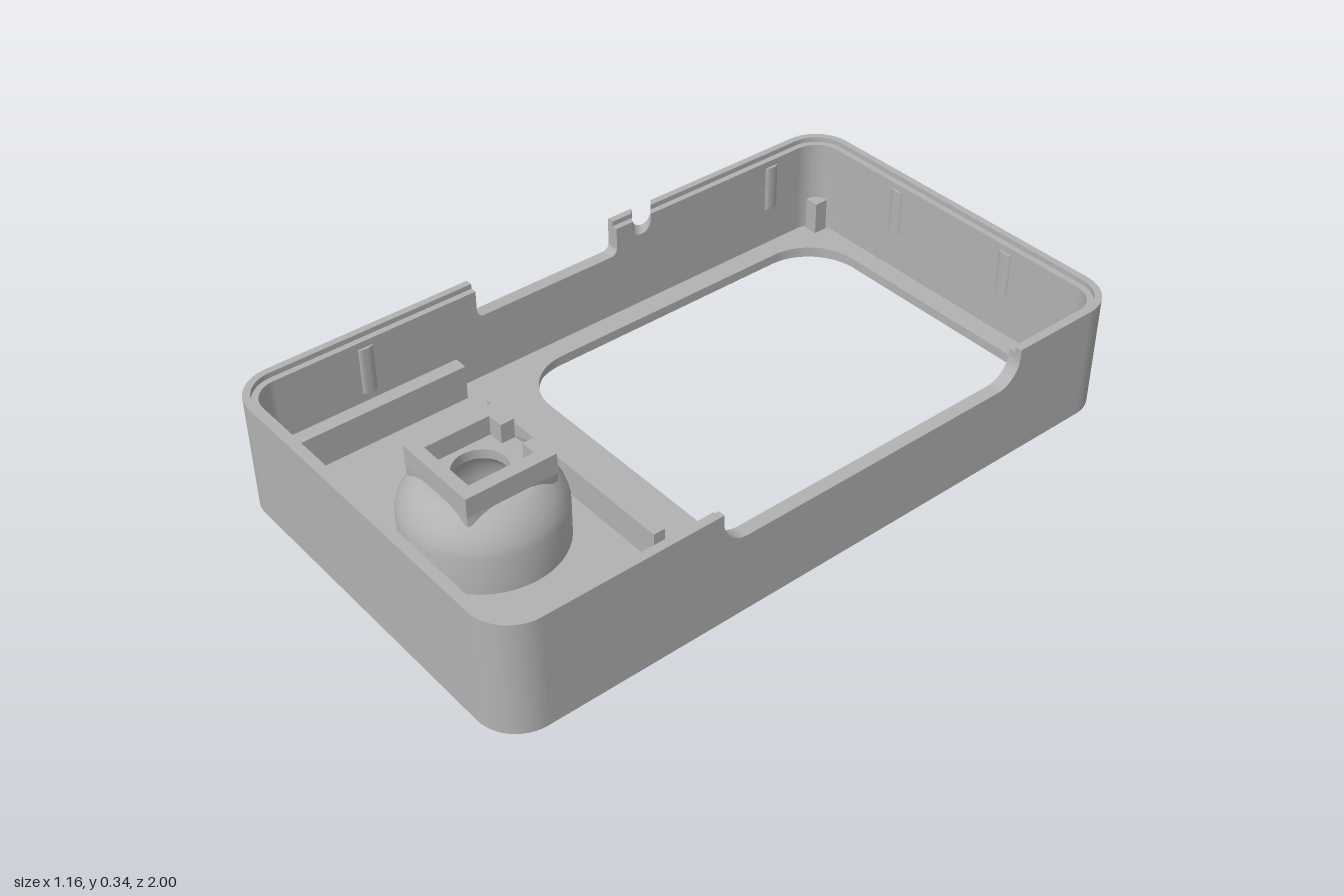
import * as THREE from 'three';
import { toCreasedNormals } from 'three/addons/utils/BufferGeometryUtils.js';

const W = 0.578, L = 1, R = 0.115;           // half width, half length, corner radius
const FLOOR = 0.04, TOP = 0.335, STEP = 0.32; // heights
const LIP = 0.02, WALL = 0.038;               // offsets inward from the outer face

// Rounded rectangle in plan (shape y = -z)
function roundRect(Type, x0, x1, y0, y1, r) {
  const s = new Type(), q = Math.PI / 2;
  s.moveTo(x0 + r, y0);
  s.absarc(x1 - r, y0 + r, r, -q, 0, false);
  s.absarc(x1 - r, y1 - r, r, 0, q, false);
  s.absarc(x0 + r, y1 - r, r, q, 2 * q, false);
  s.absarc(x0 + r, y0 + r, r, 2 * q, 3 * q, false);
  return s;
}

// Extrude a plan shape upward from y0 to y1
function slab(shape, y0, y1) {
  const g = new THREE.ExtrudeGeometry(shape, { depth: y1 - y0, bevelEnabled: false, curveSegments: 16 });
  return g.rotateX(-Math.PI / 2).translate(0, y0, 0);
}

// U-shaped end wall between two offsets
function endWall(o, i, h) {
  const s = new THREE.Shape(), cx = W - R, cy = L - R, q = Math.PI / 2;
  s.moveTo(W - o, cy);
  s.absarc(cx, cy, R - o, 0, q, false);
  s.absarc(-cx, cy, R - o, q, 2 * q, false);
  s.lineTo(-(W - i), cy);
  s.absarc(-cx, cy, R - i, 2 * q, q, true);
  s.absarc(cx, cy, R - i, q, 0, true);
  return slab(s, FLOOR, h);
}

// Side wall profile (z, y) with a round-bottomed cutout and an optional cable slot
function sideWall(side, o, i, h) {
  const e = L - R, s = new THREE.Shape(), q = Math.PI / 2, y = 0.235;
  const [a, b, r] = side > 0 ? [-0.62, 0.37, 0.075] : [-0.2, 0.275, 0.022];
  s.moveTo(-e, FLOOR);
  s.lineTo(e, FLOOR);
  s.lineTo(e, h);
  s.lineTo(b, h);
  s.absarc(b - r, y + r, r, 0, -q, true);
  s.absarc(a + r, y + r, r, -q, -2 * q, true);
  s.lineTo(a, h);
  if (side < 0) {
    s.lineTo(-0.27, h);
    s.absarc(-0.304, 0.302, 0.034, 0, -2 * q, true);
    s.lineTo(-0.338, h);
  }
  s.lineTo(-e, h);
  const g = new THREE.ExtrudeGeometry(s, { depth: i - o, bevelEnabled: false, curveSegments: 12 });
  g.rotateY(-q).translate(side > 0 ? W - o : -W + i, 0, 0);
  // Slant the cable slot through the wall
  if (side < 0) {
    const p = g.attributes.position;
    for (let k = 0; k < p.count; k++) {
      const z = p.getZ(k);
      if (z < -0.26 && z > -0.35) p.setZ(k, z + (p.getX(k) + 0.56) * 0.8);
    }
  }
  return g;
}

export function createModel() {
  const model = new THREE.Group();
  model.name = 'enclosure';
  const grey = new THREE.MeshStandardMaterial({ color: 0xb2b2b2 });
  grey.name = 'grey plastic';
  const add = (name, geometry) => {
    const m = new THREE.Mesh(toCreasedNormals(geometry, 0.6), grey);
    m.name = name;
    model.add(m);
    return m;
  };
  const block = (name, x0, x1, y0, y1, z0, z1) =>
    add(name, new THREE.BoxGeometry(x1 - x0, y1 - y0, z1 - z0)
      .translate((x0 + x1) / 2, (y0 + y1) / 2, (z0 + z1) / 2));

  // Floor in two layers, the window slightly wider underneath
  for (const [y0, y1, grow] of [[0, 0.02, 0.012], [0.02, FLOOR, 0]]) {
    const s = roundRect(THREE.Shape, -W, W, -L, L, R);
    s.holes.push(roundRect(THREE.Path, -0.475 - grow, 0.475 + grow, -0.21 - grow, 0.9 + grow, 0.16 + grow));
    const hole = new THREE.Path();
    hole.absarc(0, -0.645, 0.13, 0, Math.PI * 2, false);
    s.holes.push(hole);
    add('floor', slab(s, y0, y1));
  }

  // Walls: a tall outer lip and a lower inner step
  for (const [o, i, h] of [[0, LIP, TOP], [LIP, WALL, STEP]]) {
    add('backWall', endWall(o, i, h));
    add('frontWall', endWall(o, i, h).rotateY(Math.PI));
    add('leftWall', sideWall(1, o, i, h));
    add('rightWall', sideWall(-1, o, i, h));
  }

  // Rails around the front compartment, and the cross rib
  block('frontRail', -0.485, 0.485, FLOOR, 0.145, 0.905, 0.947);
  block('crossRib', -0.345, 0.345, FLOOR, 0.13, 0.355, 0.39);
  for (const s of [-1, 1]) {
    const x = s * 0.506;
    block('sideRail', x - 0.021, x + 0.021, FLOOR, 0.145, 0.36, 0.947);
    block('cornerPost', x - 0.021, x + 0.021, FLOOR, 0.14, -0.953, -0.911);
  }

  // Snap bumps on the inner walls
  const bump = (x, z, turn) => add('snapBump', new THREE.CylinderGeometry(0.022, 0.022, 0.14, 16)
    .scale(1, 1, 0.36).rotateY(turn).translate(x, 0.23, z));
  for (const s of [-1, 1]) {
    for (const t of [-1, 1]) bump(s * 0.21, t * (L - WALL), 0);
    for (const z of [-0.775, 0.62]) bump(s * (W - WALL), z, Math.PI / 2);
  }

  // Hollow domed pedestal
  const profile = [
    [0.215, FLOOR], [0.215, 0.15], [0.208, 0.175], [0.195, 0.2], [0.178, 0.222], [0.158, 0.24], [0.14, 0.25],
    [0.073, 0.25], [0.073, 0.225], [0.1, 0.2], [0.12, 0.165], [0.13, 0.12], [0.13, 0],
  ].map(([x, y]) => new THREE.Vector2(x, y));
  add('pedestal', new THREE.LatheGeometry(profile, 48).translate(0, 0, 0.645));

  // Square collar with a slot in its back side
  const c = new THREE.Shape([
    [-0.13, -0.775], [0.13, -0.775], [0.13, -0.51], [0.045, -0.51], [0.045, -0.55], [0.092, -0.55],
    [0.092, -0.74], [-0.092, -0.74], [-0.092, -0.55], [-0.045, -0.55], [-0.045, -0.51], [-0.13, -0.51],
  ].map(([x, y]) => new THREE.Vector2(x, y)));
  add('collar', slab(c, 0.25, 0.31));

  // Collar base plate with the round opening
  const base = roundRect(THREE.Shape, -0.13, 0.13, -0.775, -0.51, 0.002);
  const opening = new THREE.Path();
  opening.absarc(0, -0.645, 0.073, 0, Math.PI * 2, false);
  base.holes.push(opening);
  add('collarBase', slab(base, 0.225, 0.253));

  return model;
}
